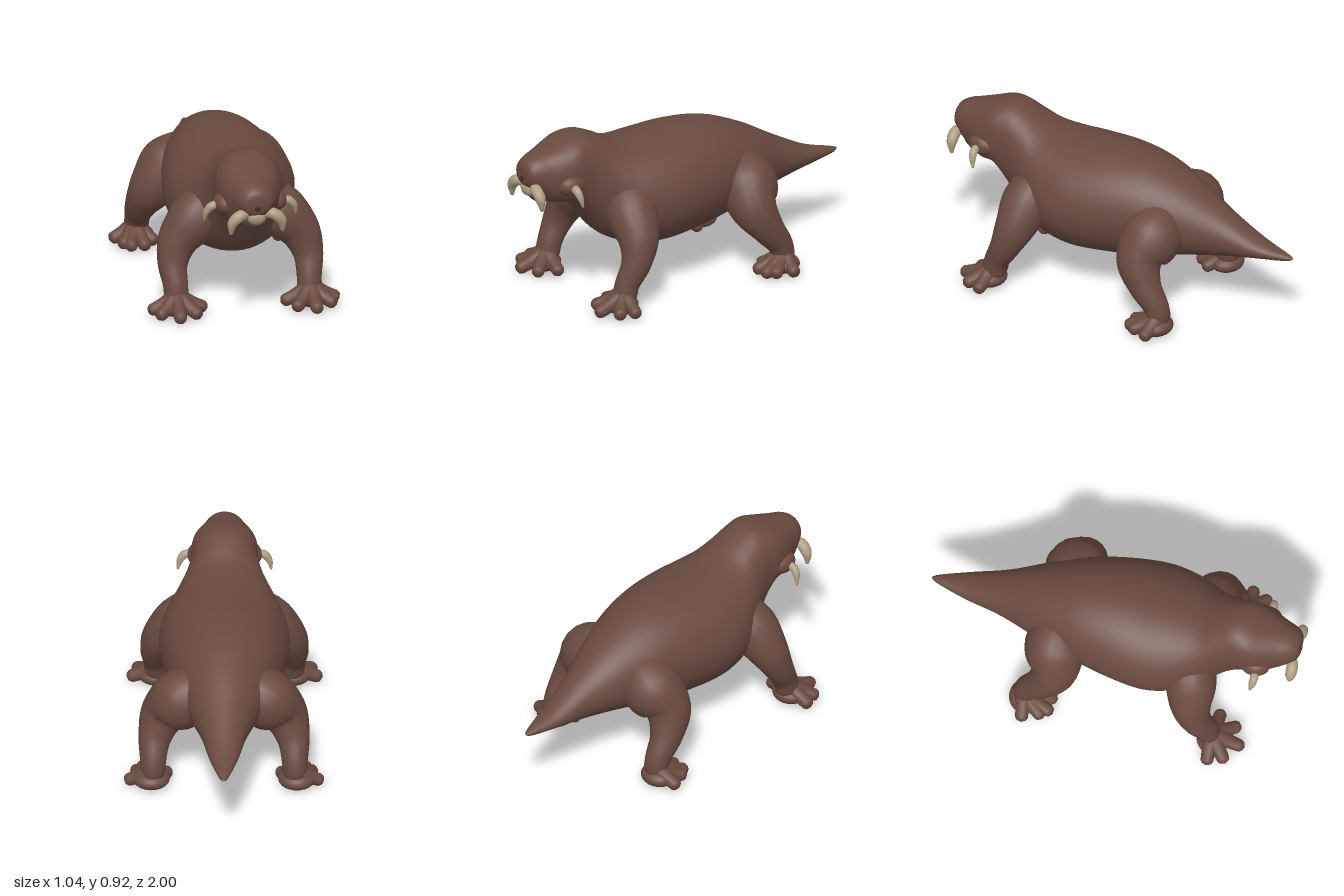
import * as THREE from 'three';
import { mergeVertices } from 'three/addons/utils/BufferGeometryUtils.js';

const hide = new THREE.MeshStandardMaterial({ color: 0x694a3f });
hide.name = 'brown hide';
const ivory = new THREE.MeshStandardMaterial({ color: 0xad9d82 });
ivory.name = 'ivory';
const dark = new THREE.MeshStandardMaterial({ color: 0x3f2a24 });
dark.name = 'dark nose';

// Smooth interpolation through a table of rows, t from 0 to 1
function sample(rows, t) {
  const last = rows.length - 1;
  const i = Math.min(Math.floor(t * last), last - 1);
  const f = t * last - i;
  const at = (k) => rows[Math.max(0, Math.min(last, k))];
  return rows[i].map((b, c) => {
    const a = at(i - 1)[c], d = at(i + 1)[c], e = at(i + 2)[c];
    const m0 = (d - a) / 2, m1 = (e - b) / 2;
    return b + m0 * f + (3 * (d - b) - 2 * m0 - m1) * f * f + (2 * (b - d) + m0 + m1) * f * f * f;
  });
}

// Closed skin made of rings: point(t, angle) gives each surface point
function skin(around, along, point) {
  const geo = new THREE.PlaneGeometry(1, 1, around, along);
  const pos = geo.attributes.position;
  for (let j = 0; j <= along; j++) {
    for (let i = 0; i <= around; i++) {
      const p = point(j / along, (-2 * Math.PI * (i % around)) / around);
      pos.setXYZ(j * (around + 1) + i, p.x, p.y, p.z);
    }
  }
  geo.deleteAttribute('uv');
  geo.deleteAttribute('normal');
  const merged = mergeVertices(geo, 1e-5);
  merged.computeVertexNormals();
  return merged;
}

// Tapered round limb through rows of [x, y, z, radius], with rounded ends
function limb(rows, cap = 0.12, around = 20, along = 32) {
  const curve = new THREE.CatmullRomCurve3(rows.map((r) => new THREE.Vector3(r[0], r[1], r[2])));
  const frames = curve.computeFrenetFrames(along);
  return skin(around, along, (t, a) => {
    const k = Math.round(t * along);
    const e = Math.max(0, 1 - Math.min(t, 1 - t) / cap);
    const r = sample(rows.map((q) => [q[3]]), curve.getUtoTmapping(t))[0] * Math.sqrt(1 - e * e);
    const p = curve.getPointAt(t)
      .addScaledVector(frames.normals[k], r * Math.cos(a))
      .addScaledVector(frames.binormals[k], r * Math.sin(a));
    p.y = Math.max(p.y, 0.004);
    return p;
  });
}

function add(parent, name, geo, mat) {
  const mesh = new THREE.Mesh(geo, mat);
  mesh.name = name;
  parent.add(mesh);
  return mesh;
}

function blob(parent, name, mat, centre, size) {
  const geo = new THREE.SphereGeometry(1, 24, 16).scale(...size).translate(...centre);
  return add(parent, name, geo, mat);
}

// Tail to snout: z, underside, top, half width, roundness (below 1 is squarer)
const BODY = [
  [-1.0, 0.427, 0.433, 0.003, 1],
  [-0.96, 0.41, 0.447, 0.026, 1],
  [-0.8, 0.39, 0.495, 0.076, 1],
  [-0.6, 0.352, 0.6, 0.125, 1],
  [-0.4, 0.31, 0.715, 0.2, 1],
  [-0.2, 0.262, 0.797, 0.27, 1],
  [0.0, 0.232, 0.825, 0.318, 1],
  [0.2, 0.22, 0.82, 0.342, 1],
  [0.35, 0.238, 0.822, 0.318, 1],
  [0.46, 0.28, 0.845, 0.268, 1],
  [0.55, 0.345, 0.89, 0.212, 0.92],
  [0.64, 0.46, 0.924, 0.178, 0.84],
  [0.72, 0.555, 0.916, 0.174, 0.8],
  [0.8, 0.565, 0.888, 0.16, 0.82],
  [0.88, 0.592, 0.864, 0.127, 0.88],
  [0.94, 0.645, 0.846, 0.102, 0.95],
  [0.978, 0.683, 0.822, 0.077, 1],
  [0.992, 0.71, 0.797, 0.046, 1],
  [0.996, 0.757, 0.76, 0.002, 1],
];

// Legs, toe tips and foot centres for the model's left side
const LEGS = [
  {
    name: 'front',
    path: [[0.1, 0.63, 0.41, 0.1], [0.225, 0.49, 0.455, 0.135], [0.325, 0.37, 0.48, 0.108],
      [0.36, 0.26, 0.52, 0.08], [0.355, 0.15, 0.575, 0.065], [0.355, 0.04, 0.595, 0.068]],
    foot: [0.355, 0.6],
    toes: [[0.51, 0.61], [0.475, 0.705], [0.365, 0.78], [0.25, 0.73], [0.195, 0.615]],
  },
  {
    name: 'hind',
    path: [[0.08, 0.6, -0.28, 0.1], [0.215, 0.48, -0.28, 0.16], [0.315, 0.37, -0.26, 0.125],
      [0.36, 0.26, -0.315, 0.088], [0.37, 0.15, -0.39, 0.067], [0.37, 0.04, -0.41, 0.064]],
    foot: [0.38, -0.405],
    toes: [[0.52, -0.385], [0.475, -0.28], [0.435, -0.235], [0.35, -0.23], [0.28, -0.3]],
  },
];

function buildSide(side) {
  const group = new THREE.Group();
  for (const { name, path, foot: [fx, fz], toes } of LEGS) {
    add(group, name + 'Leg', limb(path, 0.1), hide);
    blob(group, name + 'Foot', hide, [fx, 0.055, fz + 0.012], [0.098, 0.051, 0.09]);
    for (const [x, z] of toes) {
      const mx = fx + (x - fx) * 0.55, mz = fz + (z - fz) * 0.55;
      const bones = [[fx, 0.1, fz, 0.05], [mx, 0.06, mz, 0.037], [x, 0.033, z, 0.033]];
      add(group, name + 'Toe', limb(bones, 0.18, 14, 20), hide);
    }
  }

  // Cheek swelling that carries the outer tusk
  blob(group, 'cheek', hide, [0.135, 0.69, 0.775], [0.06, 0.058, 0.08]);

  // Tusks curving outward and down
  add(group, 'frontTusk', limb([[0.04, 0.685, 0.94, 0.024], [0.085, 0.688, 0.965, 0.03],
    [0.128, 0.65, 0.966, 0.028], [0.138, 0.58, 0.962, 0.009]], 0.06, 14, 24), ivory);
  add(group, 'cheekTusk', limb([[0.165, 0.685, 0.785, 0.022], [0.205, 0.682, 0.79, 0.022],
    [0.232, 0.65, 0.785, 0.018], [0.245, 0.595, 0.775, 0.006]], 0.06, 14, 24), ivory);

  // Mirror the finished side, reversing the corner order
  if (side < 0) {
    group.traverse((m) => {
      if (!m.isMesh) return;
      m.geometry.scale(-1, 1, 1);
      const idx = m.geometry.index;
      for (let i = 0; i < idx.count; i += 3) {
        const a = idx.getX(i);
        idx.setX(i, idx.getX(i + 1));
        idx.setX(i + 1, a);
      }
      m.geometry.computeVertexNormals();
    });
  }
  group.name = side > 0 ? 'leftSide' : 'rightSide';
  return group;
}

export function createModel() {
  const model = new THREE.Group();
  model.name = 'tuskedBeast';

  // Tail, trunk and head as one skin
  add(model, 'body', skin(48, 108, (t, a) => {
    const [z, low, high, half, power] = sample(BODY, t);
    const round = (v) => Math.sign(v) * Math.abs(v) ** power;
    const x = half * round(Math.cos(a));
    const y = (low + high) / 2 + ((high - low) / 2) * round(Math.sin(a));
    return new THREE.Vector3(x, y, z);
  }), hide);

  // Lower jaw and muzzle
  blob(model, 'jaw', hide, [0, 0.655, 0.875], [0.085, 0.08, 0.078]);
  blob(model, 'muzzle', hide, [0, 0.735, 0.91], [0.108, 0.06, 0.07]);

  // Middle tooth and nose
  blob(model, 'tooth', ivory, [0, 0.67, 0.955], [0.05, 0.043, 0.035]);
  blob(model, 'nose', dark, [0, 0.732, 0.984], [0.027, 0.023, 0.013]);

  model.add(buildSide(1), buildSide(-1));
  return model;
}
